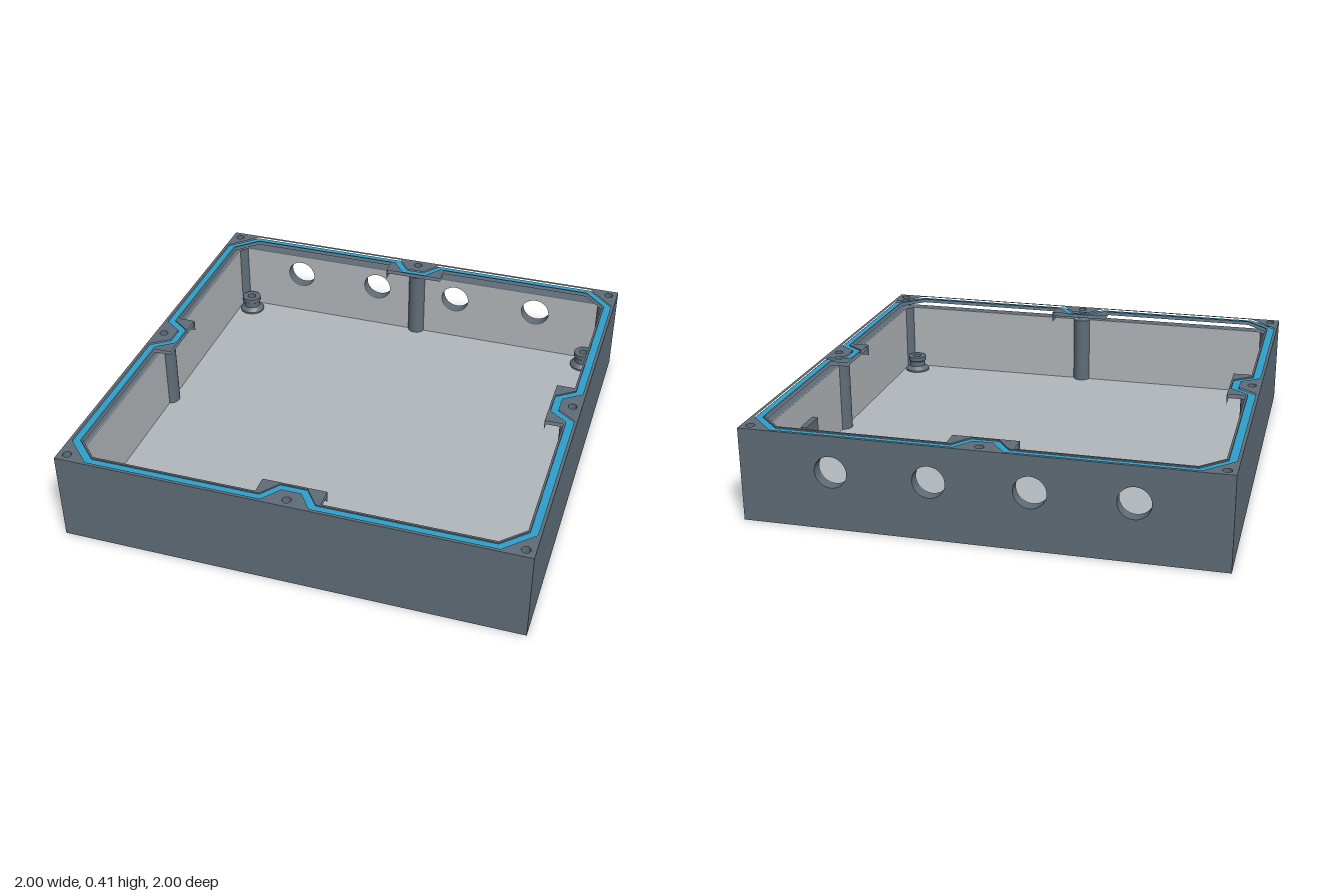
import * as THREE from 'three';

const H = 0.405, FLOOR = 0.03, RIM = 0.355, GROOVE = 0.388, IN = 0.95;

export function createModel() {
  const model = new THREE.Group();
  model.name = 'enclosure';
  const mat = (name, color) => {
    const m = new THREE.MeshStandardMaterial({ color });
    m.name = name;
    return m;
  };
  const slate = mat('slate', 0x5f6d78);
  const lining = mat('light grey', 0xb2b7bb);
  const blue = mat('seal blue', 0x2d9fca);

  const add = (name, geo, material, x = 0, y = 0, z = 0) => {
    const mesh = new THREE.Mesh(geo, material);
    mesh.name = name;
    mesh.position.set(x, y, z);
    model.add(mesh);
    return mesh;
  };
  const box = (name, material, w, h, d, x, y, z) =>
    add(name, new THREE.BoxGeometry(w, h, d), material, x, y, z);

  // Repeats one side's outline around all four sides
  const around = (side) => {
    const pts = [];
    for (let i = 0; i < 4; i++) {
      for (const p of side) pts.push(new THREE.Vector2(...p));
      side = side.map(([x, y]) => [y, -x]);
    }
    return pts;
  };
  // Mitred offset of a closed clockwise outline, positive is outward
  const offset = (pts, d) => pts.map((p, i) => {
    const a = pts[(i + pts.length - 1) % pts.length], b = pts[(i + 1) % pts.length];
    const n1 = new THREE.Vector2(a.y - p.y, p.x - a.x).normalize();
    const n2 = new THREE.Vector2(p.y - b.y, b.x - p.x).normalize();
    return n1.clone().add(n2).multiplyScalar(d / (1 + n1.dot(n2))).add(p);
  });
  const circle = (x, y, r) => new THREE.Path().absarc(x, y, r, 0, Math.PI * 2);
  // Horizontal slab between two heights
  const slab = (name, material, outer, holes, y0, y1) => {
    const shape = new THREE.Shape(outer);
    shape.holes.push(...holes);
    const geo = new THREE.ExtrudeGeometry(shape, { depth: y1 - y0, bevelEnabled: false, curveSegments: 12 });
    geo.rotateX(-Math.PI / 2);
    return add(name, geo, material, 0, y0, 0);
  };

  // Tray floor and its pale inner face
  box('floor', slate, 2, FLOOR, 2, 0, FLOOR / 2, 0);
  box('floorLining', lining, 2 * IN, 0.004, 2 * IN, 0, FLOOR + 0.002, 0);

  // Side and front walls
  const wallH = RIM - FLOOR, wallY = (RIM + FLOOR) / 2;
  for (const s of [-1, 1]) {
    box('sideWall', slate, 0.05, wallH, 2 * IN, s * 0.975, wallY, 0);
    box('sideLining', lining, 0.004, wallH, 2 * IN, s * (IN - 0.002), wallY, 0);
  }
  box('frontWall', slate, 2, wallH, 0.05, 0, wallY, 0.975);
  box('frontLining', lining, 2 * IN, wallH, 0.004, 0, wallY, IN - 0.002);

  // Back wall with four cable holes
  const backWall = (name, material, half, z, depth) => {
    const s = new THREE.Shape([
      new THREE.Vector2(-half, FLOOR), new THREE.Vector2(half, FLOOR),
      new THREE.Vector2(half, RIM), new THREE.Vector2(-half, RIM),
    ]);
    for (let i = 0; i < 4; i++) s.holes.push(circle(-0.62 + i * 0.41, 0.25, 0.068));
    add(name, new THREE.ExtrudeGeometry(s, { depth, bevelEnabled: false, curveSegments: 24 }), material, 0, 0, z);
  };
  backWall('backWall', slate, 1, -1, 0.05);
  backWall('backLining', lining, IN, -IN, 0.004);

  // Screw positions at the corners and the middle of each side
  const screws = [];
  for (const x of [-0.96, 0, 0.96]) for (const z of [-0.96, 0, 0.96]) if (x || z) screws.push([x, z]);
  const screwHoles = () => screws.map(([x, z]) => circle(x, z, 0.019));

  // Rim with tabs, corner gussets and a groove for the seal
  const square = around([[-1, 1]]);
  const inner = around([[-0.85, 0.945], [-0.138, 0.945], [-0.138, 0.865],
    [0.138, 0.865], [0.138, 0.945], [0.85, 0.945]]);
  const seal = around([[-0.86, 0.97], [-0.11, 0.97], [-0.05, 0.89],
    [0.05, 0.89], [0.11, 0.97], [0.86, 0.97]]);
  const sealOut = offset(seal, 0.016), sealIn = offset(seal, -0.016);
  slab('rim', slate, square, [new THREE.Path(inner), ...screwHoles()], RIM, GROOVE);
  slab('outerLip', slate, square, [new THREE.Path(sealOut), ...screwHoles()], GROOVE, H);
  slab('innerLip', slate, sealIn, [new THREE.Path(inner)], GROOVE, H);
  slab('seal', blue, sealOut, [new THREE.Path(sealIn)], GROOVE, H - 0.006);

  // Screw columns below the rim
  for (const [x, z] of screws) {
    const k = 0.955 / 0.96;
    add('screwColumn', new THREE.CylinderGeometry(0.042, 0.042, wallH, 24), slate, x * k, wallY, z * k);
  }

  // Flared standoffs on the floor
  const profile = [[0.06, 0], [0.06, 0.012], [0.04, 0.03], [0.04, 0.055], [0.046, 0.06],
    [0.046, 0.08], [0.02, 0.08], [0.02, 0.01], [0, 0.01]];
  const points = [];
  profile.forEach((p, i) => {
    // doubled points keep the edges crisp
    points.push(new THREE.Vector2(...p));
    if (i && i < profile.length - 1) points.push(new THREE.Vector2(...p));
  });
  const standoff = new THREE.LatheGeometry(points, 28).toNonIndexed();
  standoff.computeVertexNormals();
  for (const x of [-0.88, 0.88]) for (const z of [-0.88, 0.88]) add('standoff', standoff, slate, x, FLOOR, z);

  // Small slotted bracket on the side wall
  const clip = new THREE.Shape([
    new THREE.Vector2(-0.065, 0), new THREE.Vector2(0.065, 0),
    new THREE.Vector2(0.065, 0.14), new THREE.Vector2(-0.065, 0.14),
  ]);
  clip.holes.push(circle(0, 0.07, 0.022));
  const clipGeo = new THREE.ExtrudeGeometry(clip, { depth: 0.026, bevelEnabled: false });
  add('bracket', clipGeo, slate, 0.946, 0.085, -0.445).rotation.y = -Math.PI / 2;

  return model;
}
